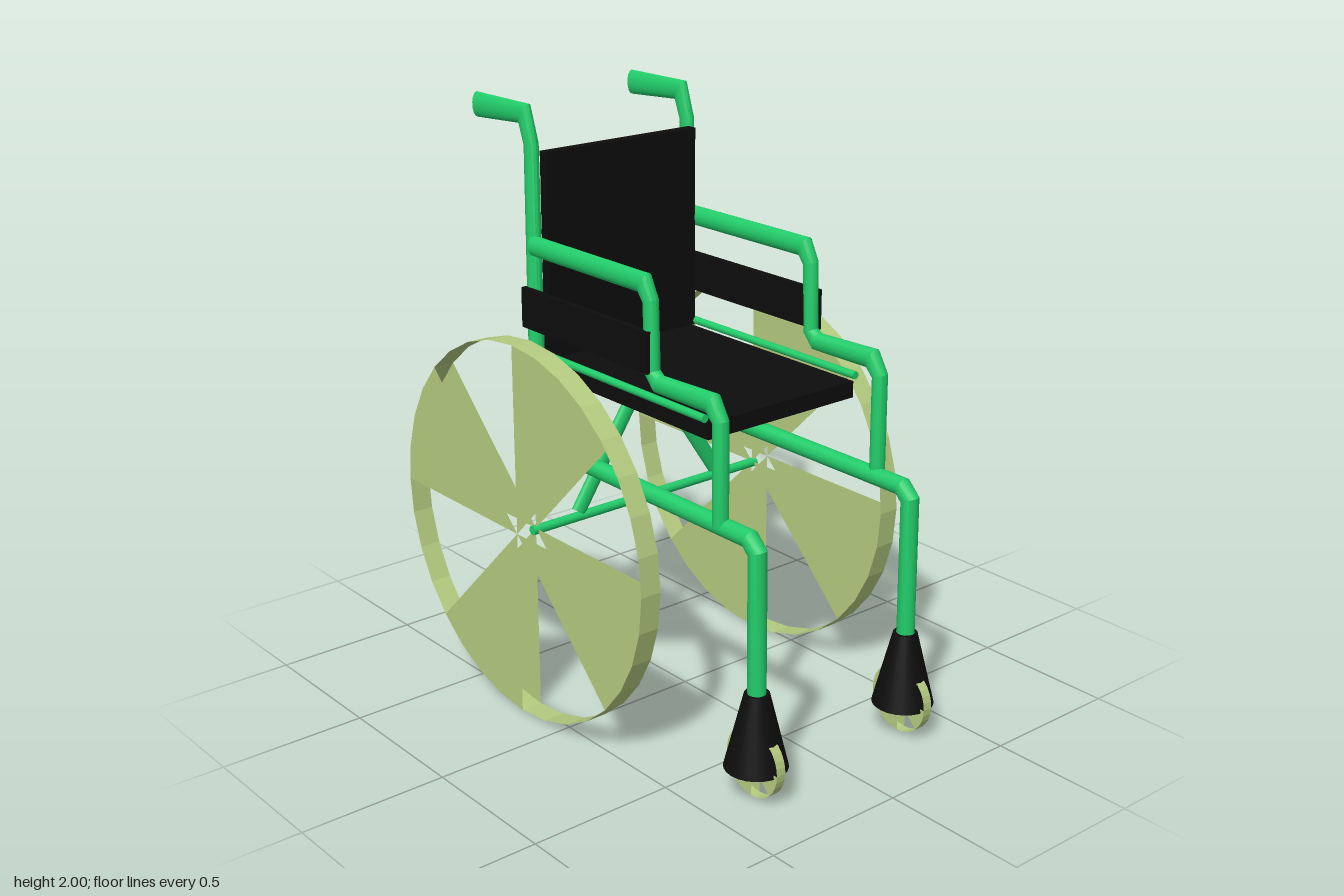
import * as THREE from 'three';
import { mergeGeometries, toCreasedNormals } from 'three/addons/utils/BufferGeometryUtils.js';

const green = new THREE.MeshStandardMaterial({ color: 0x22cc6a });
green.name = 'green frame';
const black = new THREE.MeshStandardMaterial({ color: 0x0d0d0d });
black.name = 'black fabric';
const olive = new THREE.MeshStandardMaterial({ color: 0xb5cc80, flatShading: true, side: THREE.DoubleSide });
olive.name = 'olive wheel';

function add(parent, name, geometry, material, x = 0, y = 0, z = 0) {
  const mesh = new THREE.Mesh(geometry, material);
  mesh.name = name;
  mesh.position.set(x, y, z);
  parent.add(mesh);
  return mesh;
}

// Mitred oval tube through points [x, y, radius in plane, radius along z]
function bentTube(points, sides = 14) {
  const pos = [], index = [];
  const dir = (a, b) => new THREE.Vector2(b[0] - a[0], b[1] - a[1]).normalize();
  points.forEach((p, i) => {
    const before = dir(points[Math.max(i - 1, 0)], points[Math.max(i, 1)]);
    const last = points.length - 1;
    const after = dir(points[Math.min(i, last - 1)], points[Math.min(i + 1, last)]);
    const t = before.clone().add(after).normalize();
    const r = p[2] / t.dot(before);
    for (let j = 0; j < sides; j++) {
      const a = (j / sides) * Math.PI * 2;
      const n = r * Math.cos(a);
      pos.push(p[0] - t.y * n, p[1] + t.x * n, p[3] * Math.sin(a));
    }
  });
  for (let i = 0; i < points.length - 1; i++) {
    for (let j = 0; j < sides; j++) {
      const a = i * sides + j, b = i * sides + (j + 1) % sides;
      index.push(a, b, a + sides, b, b + sides, a + sides);
    }
  }
  // End caps
  const end = (points.length - 1) * sides;
  for (let j = 1; j < sides - 1; j++) {
    index.push(0, j + 1, j, end, end + j, end + j + 1);
  }
  const geometry = new THREE.BufferGeometry();
  geometry.setAttribute('position', new THREE.Float32BufferAttribute(pos, 3));
  geometry.setIndex(index);
  return toCreasedNormals(geometry, 0.5);
}

// Thin rim with four wedge panels on each face
function wheel(name, radius, width) {
  const group = new THREE.Group();
  group.name = name;
  const rim = new THREE.CylinderGeometry(radius, radius, width, 32, 1, true).rotateX(Math.PI / 2);
  add(group, 'rim', rim, olive);
  const wedges = [];
  for (const side of [-1, 1]) {
    for (let k = 0; k < 4; k++) {
      const start = Math.PI / 4 + k * Math.PI / 2;
      wedges.push(new THREE.CircleGeometry(radius, 4, start, Math.PI / 4).translate(0, 0, side * width / 2));
    }
  }
  add(group, 'wedgePanels', mergeGeometries(wedges), olive);
  return group;
}

export function createModel() {
  const model = new THREE.Group();
  model.name = 'wheelchair';

  // Push handle, back post, lower rail and front leg in one bent tube
  const frame = bentTube([
    [-0.68, 1.955, 0.042, 0.02], [-0.415, 1.963, 0.034, 0.02],
    [-0.382, 1.87, 0.028, 0.022], [-0.382, 0.89, 0.028, 0.028],
    [-0.335, 0.855, 0.03, 0.028], [0.68, 0.855, 0.03, 0.03],
    [0.715, 0.82, 0.03, 0.03], [0.72, 0.35, 0.03, 0.03],
  ]);
  // Stepped armrest down to the lower rail
  const armrest = bentTube([
    [-0.37, 1.54, 0.034, 0.025], [0.2, 1.54, 0.034, 0.025],
    [0.23, 1.49, 0.026, 0.025], [0.238, 1.265, 0.024, 0.025],
    [0.268, 1.235, 0.03, 0.025], [0.52, 1.24, 0.034, 0.027],
    [0.556, 1.19, 0.024, 0.027], [0.558, 0.86, 0.024, 0.027],
  ]);

  for (const side of [1, -1]) {
    const half = new THREE.Group();
    half.name = side > 0 ? 'leftSide' : 'rightSide';
    half.position.z = -0.004;
    model.add(half);

    add(half, 'sideFrame', frame, green, 0, 0, side * 0.324);
    add(half, 'armrest', armrest, green, 0, 0, side * 0.333);
    add(half, 'sidePanel', new THREE.BoxGeometry(0.65, 0.135, 0.02), black, -0.075, 1.333, side * 0.356);

    const rail = new THREE.CylinderGeometry(0.013, 0.013, 0.82, 12).rotateZ(Math.PI / 2);
    add(half, 'seatRail', rail, green, 0.055, 1.172, side * 0.316);

    // Diagonal brace under the seat
    const brace = add(half, 'brace', new THREE.CylinderGeometry(0.028, 0.028, 0.51, 14), green,
      -0.197, 0.868, side * 0.162);
    brace.scale.x = 0.6;
    brace.rotation.x = -side * Math.atan2(0.28, 0.42);

    // Caster
    add(half, 'casterFork', new THREE.CylinderGeometry(0.04, 0.102, 0.25, 24), black, 0.72, 0.235, side * 0.323);
    const caster = wheel('casterWheel', 0.115, 0.035);
    caster.position.set(0.718, 0.124, side * 0.322);
    half.add(caster);

    // Drive wheel
    const drive = wheel('driveWheel', 0.645, 0.075);
    drive.position.set(-0.195, 0.645, side * 0.5125);
    model.add(drive);
  }

  add(model, 'axle', new THREE.CylinderGeometry(0.016, 0.016, 0.98, 12).rotateX(Math.PI / 2), green, -0.195, 0.64, 0);
  add(model, 'seat', new THREE.BoxGeometry(0.825, 0.055, 0.61), black, 0.053, 1.128, -0.005);
  add(model, 'backrest', new THREE.BoxGeometry(0.035, 0.69, 0.62), black, -0.34, 1.505, -0.005);
  return model;
}
